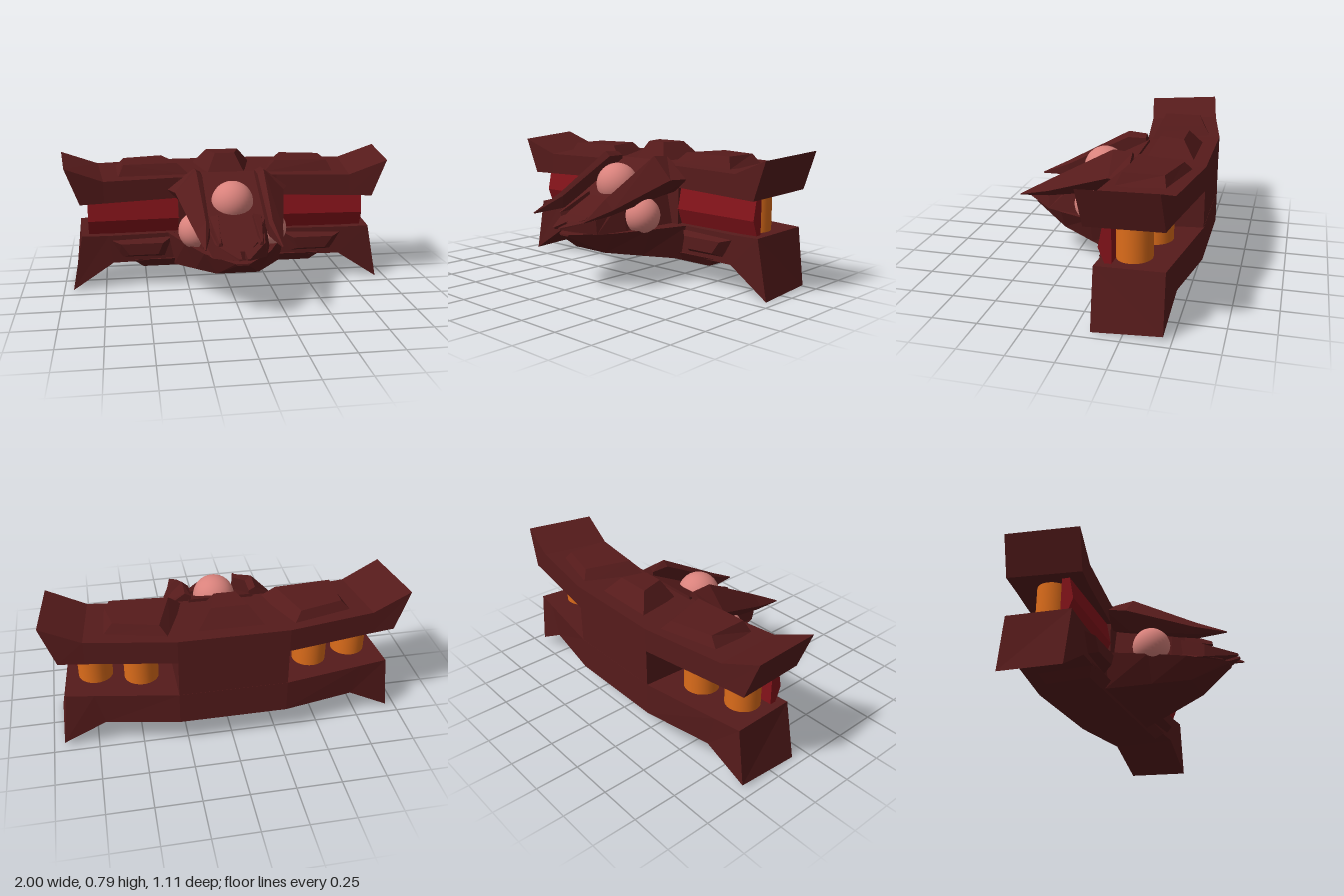
import * as THREE from 'three';

const mat = (color) => new THREE.MeshStandardMaterial({ color, flatShading: true });

// Skins a list of equal-length point loops into a closed, flat-shaded solid
function loft(loops) {
  const n = loops[0].length, pos = [];
  const tri = (a, b, c) => pos.push(...a, ...b, ...c);
  for (let s = 0; s < loops.length - 1; s++) {
    for (let i = 0; i < n; i++) {
      const j = (i + 1) % n, A = loops[s], B = loops[s + 1];
      tri(A[i], A[j], B[j]);
      tri(A[i], B[j], B[i]);
    }
  }
  const first = loops[0], last = loops[loops.length - 1];
  for (let i = 1; i < n - 1; i++) {
    tri(first[0], first[i + 1], first[i]);
    tri(last[0], last[i], last[i + 1]);
  }
  // Signed volume tells whether the skin is inside out
  let vol = 0;
  const v = (k) => new THREE.Vector3().fromArray(pos, k);
  for (let k = 0; k < pos.length; k += 9) vol += v(k).dot(v(k + 3).cross(v(k + 6)));
  if (vol < 0) {
    for (let k = 0; k < pos.length; k += 9) {
      for (let c = 0; c < 3; c++) [pos[k + 3 + c], pos[k + 6 + c]] = [pos[k + 6 + c], pos[k + 3 + c]];
    }
  }
  const g = new THREE.BufferGeometry();
  g.setAttribute('position', new THREE.Float32BufferAttribute(pos, 3));
  g.computeVertexNormals();
  return g;
}

const flipX = (loops, s) => loops.map((l) => l.map(([x, y, z]) => [x * s, y, z]));
const atZ = (z, pts) => pts.map(([x, y]) => [x, y, z]);
const atY = (y, pts) => pts.map(([x, z]) => [x, y, z]);
// Symmetric slab cross-section: half width at top and bottom, top and bottom heights
const slab = (z, wt, wb, yt, yb) => atZ(z, [[-wt, yt], [wt, yt], [wb, yb], [-wb, yb]]);

export function createModel() {
  const model = new THREE.Group();
  const hull = mat(0x561b1b), red = mat(0x84131a), orange = mat(0xdc6c1a);
  const pink = new THREE.MeshStandardMaterial({ color: 0xd9827c });

  const add = (name, geo, material = hull) => {
    const m = new THREE.Mesh(geo, material);
    m.name = name;
    model.add(m);
    return m;
  };
  const addPair = (name, loops, material) => {
    add(name + 'Left', loft(loops), material);
    add(name + 'Right', loft(flipX(loops, -1)), material);
  };
  const ball = (name, r, x, y, z) =>
    add(name, new THREE.SphereGeometry(r, 32, 20), pink).position.set(x, y, z);

  // Wings: half sections [front top, back top, back bottom, front bottom], mirrored
  const wing = (name, half) => add(name, loft([...flipX([...half].reverse(), -1), ...half]));
  wing('upperWing', [
    [[0.3, 0.67, -0.12], [0.3, 0.7, -0.555], [0.3, 0.565, -0.555], [0.3, 0.545, -0.12]],
    [[0.74, 0.67, -0.06], [0.78, 0.7, -0.475], [0.78, 0.565, -0.475], [0.74, 0.54, -0.06]],
    [[0.96, 0.76, -0.02], [1, 0.785, -0.44], [0.92, 0.565, -0.455], [0.88, 0.54, -0.035]],
  ]);
  wing('lowerWing', [
    [[0.3, 0.33, -0.12], [0.3, 0.35, -0.555], [0.3, 0.16, -0.555], [0.3, 0.16, -0.12]],
    [[0.72, 0.33, -0.095], [0.75, 0.35, -0.48], [0.7, 0.16, -0.48], [0.7, 0.16, -0.095]],
    [[0.88, 0.335, -0.085], [0.9, 0.35, -0.455], [0.94, 0.02, -0.455], [0.945, 0, -0.085]],
  ]);

  // Solid centre joining the two wings
  const core = add('centreBlock', new THREE.BoxGeometry(0.6, 0.44, 0.434));
  core.position.set(0, 0.4, -0.337);

  // Raised panels on the upper wing
  addPair('topPanel', [
    atY(0.68, [[0.68, -0.41], [0.33, -0.5], [0.23, -0.16], [0.65, -0.14]]),
    atY(0.745, [[0.62, -0.39], [0.38, -0.45], [0.3, -0.19], [0.62, -0.17]]),
  ]);
  add('centrePanel', loft([
    atY(0.68, [[-0.19, -0.48], [0.19, -0.48], [0.11, -0.2], [-0.11, -0.2]]),
    atY(0.785, [[-0.1, -0.4], [0.1, -0.4], [0.06, -0.26], [-0.06, -0.26]]),
  ]));

  // Raised panels on the front of the lower wing
  addPair('frontPanel', [
    atZ(-0.13, [[0.75, 0.31], [0.33, 0.31], [0.38, 0.18], [0.67, 0.18]]),
    atZ(-0.055, [[0.65, 0.285], [0.4, 0.285], [0.43, 0.215], [0.6, 0.215]]),
  ]);

  // Keel plate under the lower wing
  add('keel', loft([
    atY(0.17, [[-0.58, -0.43], [-0.3, -0.48], [0.3, -0.48], [0.58, -0.43], [0.58, -0.1], [0.3, -0.1], [-0.3, -0.1], [-0.58, -0.1]]),
    atY(0.115, [[-0.52, -0.4], [-0.27, -0.44], [0.27, -0.44], [0.52, -0.4], [0.52, -0.14], [0.27, -0.14], [-0.27, -0.14], [-0.52, -0.14]]),
  ]));

  // Red creased wall and orange columns between the wings
  const wall = (x, dz) => [[x, 0.57, -0.14 + dz], [x, 0.42, -0.11 + dz], [x, 0.32, -0.15 + dz], [x, 0.32, -0.18 + dz], [x, 0.57, -0.18 + dz]];
  addPair('innerWall', [wall(0.28, -0.01), wall(0.84, 0.01)], red);
  for (const s of [-1, 1]) {
    for (const [x, z] of [[0.73, -0.265], [0.48, -0.325]]) {
      const col = add('column', new THREE.CylinderGeometry(0.095, 0.095, 0.25, 32),
        new THREE.MeshStandardMaterial({ color: orange.color }));
      col.position.set(s * x, 0.45, z);
    }
  }

  // Upper side blades sweeping forward to points
  addPair('upperBlade', [
    atZ(-0.13, [[0.165, 0.55], [0.165, 0.7], [0.2, 0.72], [0.37, 0.6], [0.27, 0.52]]),
    atZ(-0.02, [[0.165, 0.52], [0.165, 0.7], [0.2, 0.73], [0.325, 0.6], [0.25, 0.5]]),
    atZ(0.36, [[0.165, 0.43], [0.165, 0.5], [0.185, 0.52], [0.245, 0.465], [0.22, 0.43]]),
    atZ(0.54, [[0.205, 0.415], [0.205, 0.42], [0.207, 0.422], [0.212, 0.42], [0.21, 0.415]]),
  ]);

  // Sloping deck and middle body between the blades
  add('deck', loft([
    slab(-0.15, 0.18, 0.26, 0.69, 0.32),
    slab(0.21, 0.17, 0.2, 0.5, 0.31),
    slab(0.39, 0.1, 0.15, 0.41, 0.32),
    slab(0.47, 0.04, 0.05, 0.38, 0.33),
  ]));

  // Beak: a pair of prongs, with ridges and small fangs above
  addPair('beakProng', [
    atZ(0.2, [[0.01, 0.47], [0.165, 0.46], [0.18, 0.33], [0.01, 0.33]]),
    atZ(0.39, [[0.01, 0.4], [0.14, 0.4], [0.15, 0.32], [0.01, 0.33]]),
    atZ(0.555, [[0.015, 0.365], [0.03, 0.365], [0.03, 0.355], [0.015, 0.355]]),
  ]);
  addPair('beakRidge', [
    atZ(0.21, [[0.1, 0.52], [0.15, 0.51], [0.16, 0.44], [0.09, 0.44]]),
    atZ(0.43, [[0.11, 0.42], [0.12, 0.42], [0.125, 0.4], [0.1, 0.4]]),
  ]);

  // Lower jaw
  add('lowerJaw', loft([
    slab(-0.13, 0.37, 0.33, 0.33, 0.125),
    slab(0.1, 0.28, 0.22, 0.325, 0.165),
    slab(0.3, 0.19, 0.12, 0.32, 0.2),
    slab(0.5, 0.04, 0.03, 0.32, 0.31),
  ]));

  // Domes on the deck and both flanks
  ball('topDome', 0.122, 0, 0.56, 0.08);
  ball('sideDomeLeft', 0.108, 0.21, 0.4, 0.097);
  ball('sideDomeRight', 0.108, -0.21, 0.4, 0.097);

  return model;
}
